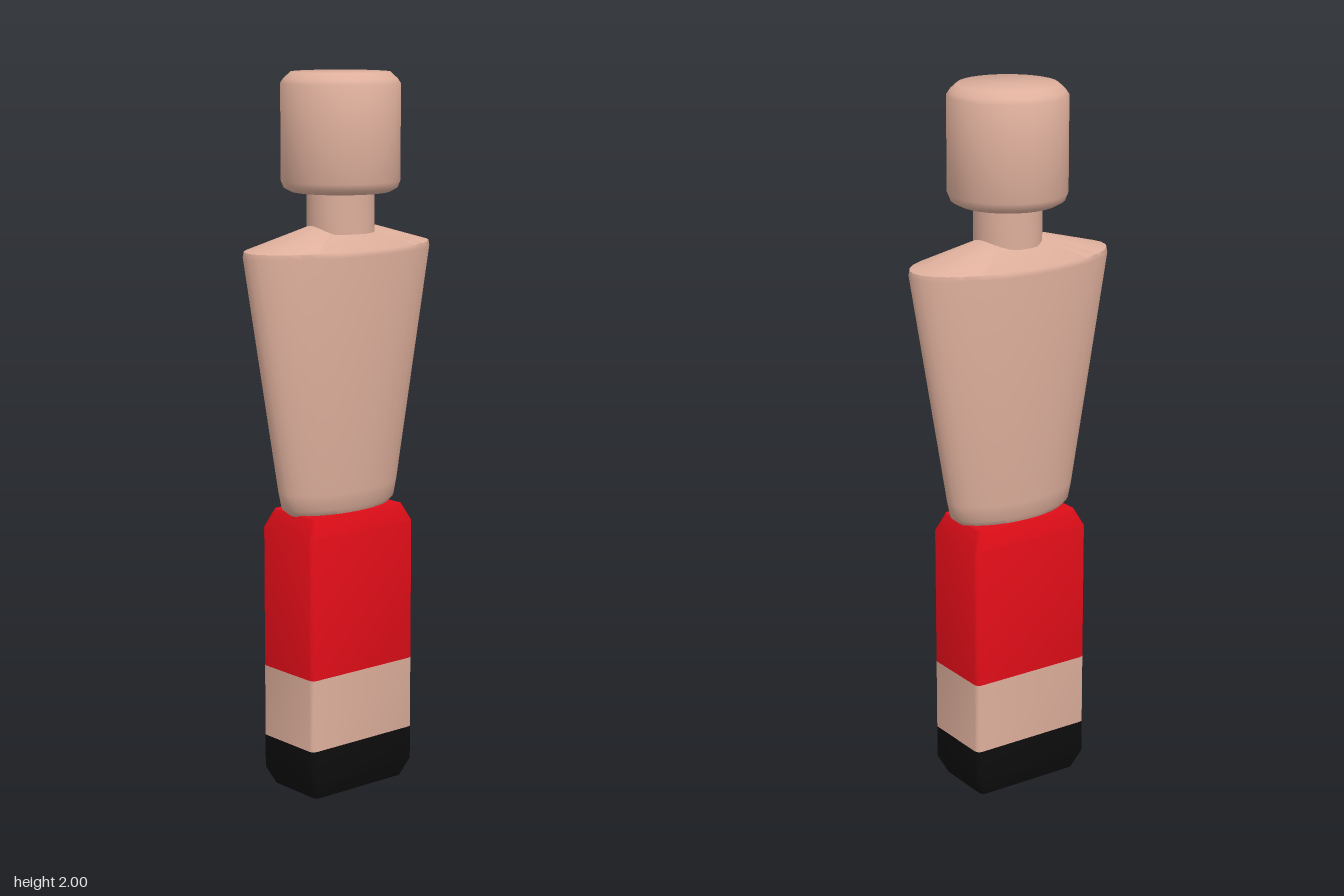
import * as THREE from 'three';
import { toCreasedNormals } from 'three/addons/utils/BufferGeometryUtils.js';

const skin = new THREE.MeshStandardMaterial({ color: 0xdeaf9c });
const red = new THREE.MeshStandardMaterial({ color: 0xdf0d18 });
const black = new THREE.MeshStandardMaterial({ color: 0x0d0d0d });

// Turned part from [radius, y] points, bottom to top
function turned(points, flatten = 1) {
  const geo = new THREE.LatheGeometry(points.map(([r, y]) => new THREE.Vector2(r, y)), 32);
  geo.scale(flatten, 1, 1);
  return toCreasedNormals(geo, 1.0);
}

// Rounded rectangle outline in x, z
function outline(hx, hz, r = 0.015, steps = 3) {
  const pts = [];
  [[1, 1], [-1, 1], [-1, -1], [1, -1]].forEach(([sx, sz], q) => {
    for (let i = 0; i <= steps; i++) {
      const a = (q + i / steps) * Math.PI / 2;
      pts.push([sx * (hx - r) + r * Math.cos(a), sz * (hz - r) + r * Math.sin(a)]);
    }
  });
  return pts;
}

// Loft through [y, halfX, halfZ] sections, capped at both ends
function block(sections) {
  const pos = [], idx = [];
  const n = outline(1, 1).length;
  for (const [y, hx, hz] of sections) for (const [x, z] of outline(hx, hz)) pos.push(x, y, z);
  for (let s = 0; s < sections.length - 1; s++) {
    for (let i = 0; i < n; i++) {
      const a = s * n + i, b = s * n + (i + 1) % n;
      idx.push(a, a + n, b, b, a + n, b + n);
    }
  }
  const top = (sections.length - 1) * n, c = sections.length * n;
  pos.push(0, sections[0][0], 0, 0, sections[sections.length - 1][0], 0);
  for (let i = 0; i < n; i++) {
    const j = (i + 1) % n;
    idx.push(c, i, j, c + 1, top + j, top + i);
  }
  const geo = new THREE.BufferGeometry();
  geo.setAttribute('position', new THREE.Float32BufferAttribute(pos, 3));
  geo.setIndex(idx);
  return toCreasedNormals(geo, 0.8);
}

export function createModel() {
  const model = new THREE.Group();
  const add = (name, geo, material, x = 0) => {
    const mesh = new THREE.Mesh(geo, material);
    mesh.name = name;
    mesh.position.x = x;
    model.add(mesh);
  };

  // Head with chamfered rims, and neck
  add('head', turned([[0, 1.68], [0.137, 1.68], [0.155, 1.69], [0.163, 1.71],
    [0.163, 1.97], [0.155, 1.982], [0.135, 2], [0, 2]]), skin);
  add('neck', turned([[0, 1.57], [0.093, 1.57], [0.093, 1.69], [0, 1.69]]), skin);

  // Flattened torso, tapering to the waist with sloped shoulders
  add('torso', turned([[0, 0.795], [0.165, 0.795], [0.19, 0.815], [0.2, 0.86],
    [0.31, 1.515], [0.307, 1.53], [0.09, 1.59], [0, 1.59]], 0.477), skin, -0.01);

  // Legs block in three coloured bands
  const hx = 0.11, hz = 0.185;
  add('shorts', block([[0.35, hx, hz], [0.75, hx, hz], [0.8, 0.094, 0.16]]), red, -0.01);
  add('legs', block([[0.145, hx, hz], [0.35, hx, hz]]), skin, -0.01);
  add('shoes', block([[0, 0.094, 0.16], [0.05, hx, hz], [0.145, hx, hz]]), black, -0.01);

  return model;
}
